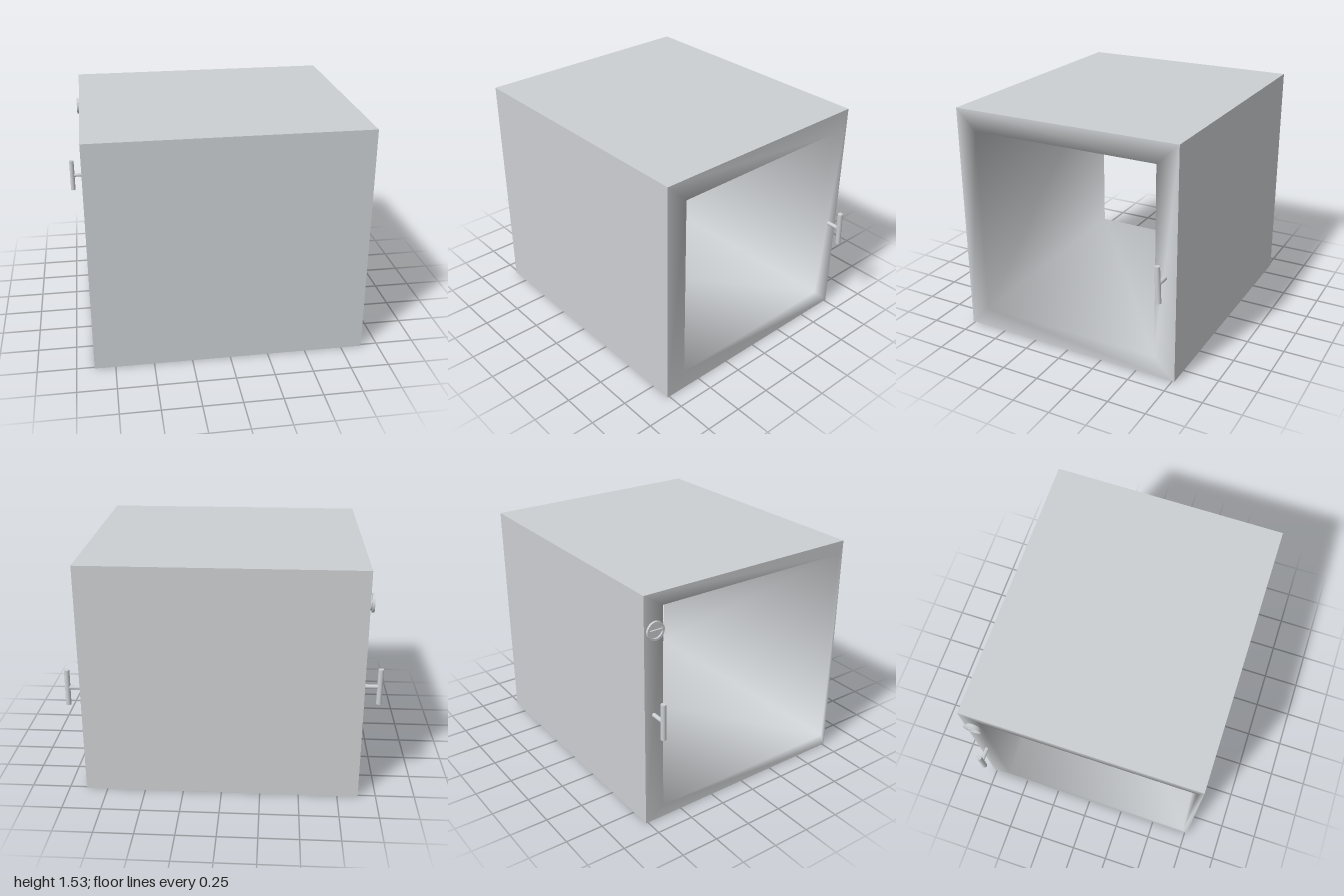
import * as THREE from 'three';

const X0 = -0.885, X1 = 0.888, H = 1.53, D = 0.765;

// Four corners [x, y, z] of a rectangle lying across the x axis
const corners = (x, y0, y1, z0, z1) => [[x, y0, z1], [x, y0, z0], [x, y1, z0], [x, y1, z1]];

// Joins successive four-cornered loops into one surface
function loft(loops) {
  const index = [];
  for (let l = 0; l < loops.length - 1; l++) {
    for (let i = 0; i < 4; i++) {
      const a = l * 4 + i, b = l * 4 + (i + 1) % 4, c = a + 4, d = b + 4;
      index.push(a, b, d, a, d, c);
    }
  }
  const g = new THREE.BufferGeometry();
  g.setAttribute('position', new THREE.Float32BufferAttribute(loops.flat(2), 3));
  g.setIndex(index);
  return g;
}

export function createModel() {
  const model = new THREE.Group();
  const grey = new THREE.MeshStandardMaterial({ color: 0xcccfd2 });
  grey.name = 'light grey';

  const add = (name, geometry, parent = model) => {
    const mesh = new THREE.Mesh(geometry, grey);
    mesh.name = name;
    parent.add(mesh);
    return mesh;
  };

  // Outer walls: sharp edged, open at both x ends
  const outer = loft([corners(X1, 0, H, -D, D), corners(X0, 0, H, -D, D)]).toNonIndexed();
  outer.computeVertexNormals();
  // Both rims and the slightly widening passage, softly shaded together
  const inner = loft([
    corners(X0, 0, H, -D, D),
    corners(X0, 0.085, 1.445, -0.635, 0.73),
    corners(X1, 0.138, 1.395, -0.625, 0.627),
    corners(X1, 0, H, -D, D),
  ]);
  inner.computeVertexNormals();

  // Keep every wall facing away from the solid
  const orient = (g, probe, axis, sign) => {
    const n = g.attributes.normal;
    if (n.getComponent(probe, axis) * sign > 0) return g;
    if (g.index) {
      const a = g.index.array;
      for (let i = 0; i < a.length; i += 3) [a[i + 1], a[i + 2]] = [a[i + 2], a[i + 1]];
    } else {
      const p = g.attributes.position, v = new THREE.Vector3(), w = new THREE.Vector3();
      for (let i = 0; i < p.count; i += 3) {
        v.fromBufferAttribute(p, i + 1);
        w.fromBufferAttribute(p, i + 2);
        p.setXYZ(i + 1, w.x, w.y, w.z);
        p.setXYZ(i + 2, v.x, v.y, v.z);
      }
    }
    g.computeVertexNormals();
    return g;
  };
  add('outerWalls', orient(outer, 0, 1, -1));
  add('rimsAndPassage', orient(inner, 0, 0, -1));

  // T-shaped pull handles, one at each open end
  function handle(name, side, y, z, tilt) {
    const g = new THREE.Group();
    g.name = name;
    const wall = side > 0 ? X1 : -X0;
    const length = 0.983 - wall + 0.01;
    const stem = add('handleStem', new THREE.CylinderGeometry(0.013, 0.013, length, 24), g);
    stem.rotation.z = Math.PI / 2;
    stem.position.x = side * (wall - 0.01 + length / 2);
    const bar = add('handleBar', new THREE.CylinderGeometry(0.017, 0.017, 0.235, 24), g);
    bar.position.x = side * 0.983;
    bar.rotation.x = tilt;
    g.position.set(0, y, z);
    model.add(g);
  }
  handle('leftHandle', 1, 0.698, -0.69, 0.05);
  handle('rightHandle', -1, 0.762, -0.702, 0);

  // Round lock: base, raised ring and a narrow turning bar
  const lock = new THREE.Group();
  lock.name = 'lock';
  const profile = [[0, 0], [0.046, 0], [0.046, 0.012], [0.058, 0.012], [0.058, 0.027],
    [0.045, 0.027], [0.045, 0.016], [0, 0.016]].map(p => new THREE.Vector2(...p));
  // Separate segments keep the turned edges crisp
  for (let i = 0; i < profile.length - 1; i++) {
    add('lockBody', new THREE.LatheGeometry([profile[i], profile[i + 1]], 32), lock);
  }
  add('lockBar', new THREE.BoxGeometry(0.014, 0.012, 0.09), lock).position.y = 0.021;
  lock.rotation.z = Math.PI / 2;
  lock.position.set(X0, 1.312, -0.7);
  model.add(lock);

  return model;
}
